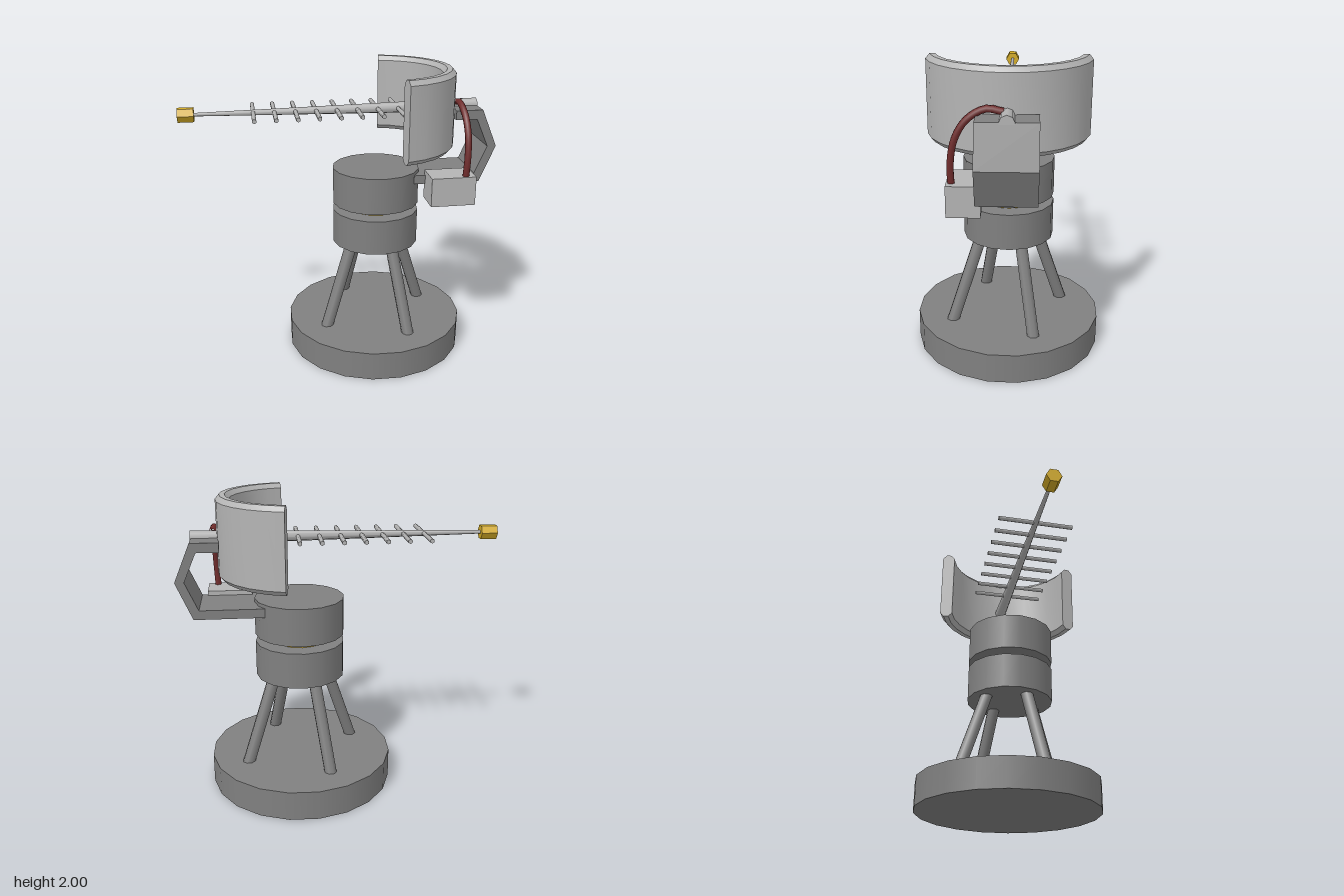
import * as THREE from 'three';
import { toCreasedNormals } from 'three/addons/utils/BufferGeometryUtils.js';

const paint = (name, color, side = THREE.FrontSide) => {
  const m = new THREE.MeshStandardMaterial({ color, side });
  m.name = name;
  return m;
};

export function createModel() {
  const dark = paint('dark grey metal', 0x808080);
  const light = paint('light grey metal', 0xb4b4b4, THREE.DoubleSide);
  const gold = paint('gold', 0xd4ac26);
  const red = paint('dark red cable', 0x702c2c);

  const model = new THREE.Group();
  const add = (parent, name, geometry, material, x = 0, y = 0, z = 0) => {
    const mesh = new THREE.Mesh(geometry, material);
    mesh.name = name;
    mesh.position.set(x, y, z);
    parent.add(mesh);
    return mesh;
  };
  const disc = (name, r, y0, y1, sides, material) =>
    add(model, name, new THREE.CylinderGeometry(r, r, y1 - y0, sides), material, 0.2, (y0 + y1) / 2, 0);

  // Cylinder between two points
  const up = new THREE.Vector3(0, 1, 0);
  const rod = (parent, name, a, b, ra, rb, sides, material) => {
    const dir = b.clone().sub(a);
    const mesh = add(parent, name, new THREE.CylinderGeometry(rb, ra, dir.length(), sides), material);
    mesh.position.copy(a).add(b).multiplyScalar(0.5);
    mesh.quaternion.setFromUnitVectors(up, dir.normalize());
    return mesh;
  };
  const v = (x, y, z) => new THREE.Vector3(x, y, z);

  // Base and turning column
  disc('base', 0.623, 0, 0.2, 20, dark);
  disc('lowerDrum', 0.298, 0.78, 1.02, 16, dark);
  disc('swivelRing', 0.18, 1.01, 1.08, 16, gold);
  disc('upperDrum', 0.298, 1.07, 1.32, 16, dark);

  // Four splayed legs
  for (let i = 0; i < 4; i++) {
    const c = Math.round(Math.cos(i * Math.PI / 2)), s = Math.round(Math.sin(i * Math.PI / 2));
    rod(model, 'leg', v(0.2 + 0.425 * c, 0.15, 0.425 * s), v(0.2 + 0.185 * c, 0.82, 0.185 * s), 0.042, 0.042, 8, dark);
  }

  // Turned head: local +x points to the back of the reflector
  const head = new THREE.Group();
  head.name = 'head';
  head.position.x = 0.2;
  head.rotation.y = THREE.MathUtils.degToRad(-25);
  model.add(head);

  // Curved reflector wall with chamfered rims and capped ends
  const profile = [
    [0.462, 1.468], [0.497, 1.468], [0.523, 1.498], [0.523, 1.97],
    [0.497, 2], [0.462, 2], [0.436, 1.97], [0.436, 1.498],
  ].map(([x, y]) => new THREE.Vector2(x, y));
  const start = THREE.MathUtils.degToRad(12), sweep = THREE.MathUtils.degToRad(156);
  const wall = new THREE.LatheGeometry([...profile, profile[0]], 12, start, sweep);
  add(head, 'reflector', toCreasedNormals(wall, 0.6), light);
  for (const phi of [start, start + sweep]) {
    const cap = add(head, 'reflectorEnd', new THREE.ShapeGeometry(new THREE.Shape(profile)), light);
    cap.rotation.y = phi - Math.PI / 2;
  }

  // Tapered boom, cross rods and gold tip
  const boomY = 1.726;
  rod(head, 'boom', v(-1.22, boomY, 0), v(0.69, boomY, 0), 0.011, 0.047, 8, light);
  for (let i = 0; i < 8; i++) {
    const x = -0.82 + 0.1376 * i;
    rod(head, 'crossRod', v(x, boomY, -0.247), v(x, boomY, 0.247), 0.015, 0.015, 6, light);
  }
  const tip = new THREE.CylinderGeometry(0.05, 0.05, 0.105, 6);
  tip.rotateZ(Math.PI / 2);
  add(head, 'boomTip', toCreasedNormals(tip, 0.6), gold, -1.252, boomY, 0);

  // Bent bracket joining the column to the reflector
  const bracket = new THREE.Shape([
    [0.232, 1.235], [0.685, 1.235], [0.79, 1.48], [0.685, 1.73], [0.504, 1.73],
    [0.504, 1.668], [0.648, 1.668], [0.73, 1.48], [0.648, 1.295], [0.232, 1.295],
  ].map(([x, y]) => new THREE.Vector2(x, y)));
  add(head, 'bracket', new THREE.ExtrudeGeometry(bracket, { depth: 0.364, bevelEnabled: false }), dark, 0, 0, -0.182);

  // Control box at the side of the bracket
  add(head, 'controlBox', new THREE.BoxGeometry(0.3, 0.195, 0.205), light, 0.459, 1.228, 0.255);

  // Cable from the control box to the boom
  const cable = new THREE.CatmullRomCurve3([
    v(0.555, 1.3, 0.525), v(0.56, 1.45, 0.53), v(0.575, 1.6, 0.505),
    v(0.6, 1.71, 0.44), v(0.64, 1.77, 0.34), v(0.69, 1.755, 0.25),
  ]);
  add(model, 'cable', new THREE.TubeGeometry(cable, 20, 0.022, 8), red);

  return model;
}
